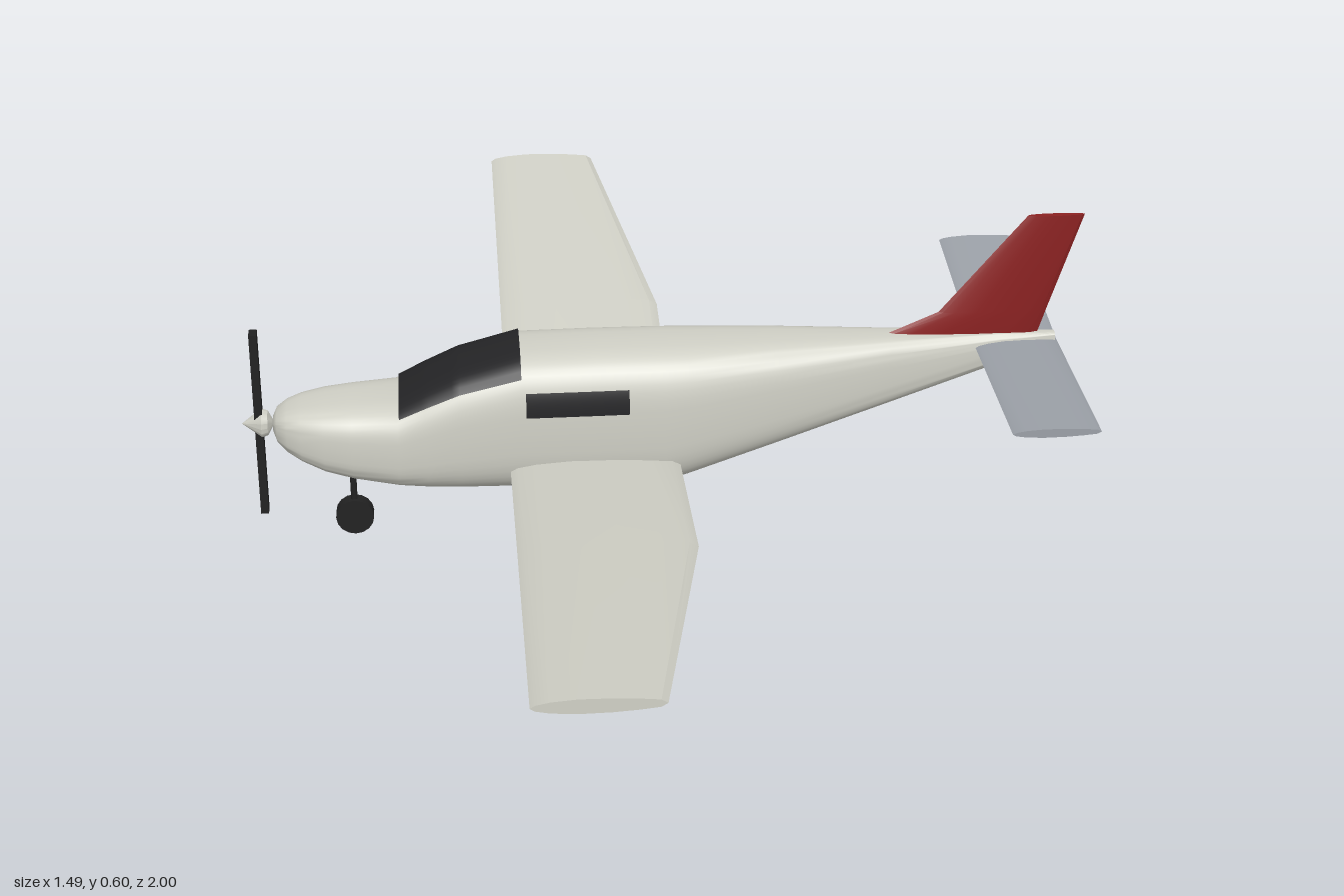
import * as THREE from 'three';
import { toCreasedNormals } from 'three/addons/utils/BufferGeometryUtils.js';
import { ParametricGeometry } from 'three/addons/geometries/ParametricGeometry.js';

const V = (x, y, z) => new THREE.Vector3(x, y, z);

// Closed skin over a row of equal-length rings, with flat end caps
function loft(rings, crease) {
  const n = rings[0].length, tris = [];
  for (let i = 0; i < rings.length - 1; i++)
    for (let j = 0; j < n; j++) {
      const k = (j + 1) % n, a = rings[i][j], b = rings[i][k], c = rings[i + 1][k], d = rings[i + 1][j];
      tris.push([a, b, c], [a, c, d]);
    }
  const last = rings[rings.length - 1];
  for (let j = 1; j < n - 1; j++) {
    tris.push([rings[0][0], rings[0][j + 1], rings[0][j]], [last[0], last[j], last[j + 1]]);
  }
  // Turn the skin outward whichever way the rings run
  const volume = tris.reduce((s, [a, b, c]) => s + a.dot(b.clone().cross(c)), 0);
  const pts = tris.flatMap(([a, b, c]) => (volume < 0 ? [a, c, b] : [a, b, c]));
  return toCreasedNormals(new THREE.BufferGeometry().setFromPoints(pts), crease);
}

// Aerofoil outline: chord fraction, half-thickness fraction
const FOIL = [[0, 0], [0.04, 0.4], [0.15, 0.75], [0.35, 1], [0.6, 0.95], [0.8, 0.75], [0.95, 0.5], [1, 0],
  [0.95, -0.5], [0.8, -0.75], [0.6, -0.95], [0.35, -1], [0.15, -0.75], [0.04, -0.4]];
const foil = (x0, x1, half, place) => FOIL.map(([u, t]) => place(x0 + (x1 - x0) * u, t * half));

// Fuselage stations: x, bottom, top, half width
const STATIONS = [
  [-0.69, 0.235, 0.258, 0.015], [-0.683, 0.22, 0.27, 0.035], [-0.665, 0.203, 0.28, 0.052],
  [-0.64, 0.188, 0.287, 0.066], [-0.6, 0.17, 0.293, 0.08], [-0.55, 0.156, 0.297, 0.089],
  [-0.47, 0.141, 0.302, 0.097], [-0.42, 0.135, 0.329, 0.1], [-0.36, 0.131, 0.358, 0.102],
  [-0.25, 0.128, 0.389, 0.103], [-0.12, 0.127, 0.39, 0.103], [0, 0.127, 0.389, 0.102],
  [0.04, 0.138, 0.388, 0.099], [0.2, 0.19, 0.386, 0.08], [0.4, 0.253, 0.382, 0.048],
  [0.6, 0.318, 0.378, 0.02], [0.7, 0.35, 0.374, 0.01]];
const POWER = 3.3;
function stationAt(x) {
  let i = 0;
  while (i < STATIONS.length - 2 && STATIONS[i + 1][0] < x) i++;
  const a = STATIONS[i], b = STATIONS[i + 1], t = (x - a[0]) / (b[0] - a[0]);
  const [bottom, top, w] = [1, 2, 3].map(k => a[k] + (b[k] - a[k]) * t);
  return { mid: (top + bottom) / 2, h: (top - bottom) / 2, w };
}
const squircle = f => Math.pow(Math.max(0, 1 - Math.pow(Math.abs(f), POWER)), 1 / POWER);

export function createModel() {
  const group = new THREE.Group();
  const paint = (name, color, side = THREE.FrontSide) => {
    const m = new THREE.MeshStandardMaterial({ color, side });
    m.name = name;
    return m;
  };
  const white = paint('off white', 0xd0d0c6);
  const gray = paint('tail gray', 0x9ca1a8);
  const red = paint('fin red', 0x8b2222);
  const black = paint('black', 0x222222);
  const glass = paint('dark glass', 0x242426, THREE.DoubleSide);
  const metal = paint('strut metal', 0xb0b0b0);
  const add = (name, geometry, material, x = 0, y = 0, z = 0) => {
    const mesh = new THREE.Mesh(geometry, material);
    mesh.name = name;
    mesh.position.set(x, y, z);
    group.add(mesh);
    return mesh;
  };
  const rod = (name, a, b, r, material) => {
    const d = b.clone().sub(a), mid = a.clone().add(b).multiplyScalar(0.5);
    const mesh = add(name, new THREE.CylinderGeometry(r, r, d.length(), 10), material, mid.x, mid.y, mid.z);
    mesh.quaternion.setFromUnitVectors(V(0, 1, 0), d.normalize());
  };
  const wheel = (name, x, y, z) => add(name,
    new THREE.CylinderGeometry(0.034, 0.034, 0.024, 16).rotateX(Math.PI / 2), black, x, y, z);

  // Fuselage
  const signedPow = v => Math.sign(v) * Math.pow(Math.abs(v), 2 / POWER);
  const hull = STATIONS.map(([x]) => {
    const { mid, h, w } = stationAt(x);
    return Array.from({ length: 48 }, (_, j) => {
      const a = (j / 48) * Math.PI * 2;
      return V(x, mid + h * signedPow(Math.sin(a)), w * signedPow(Math.cos(a)));
    });
  });
  add('fuselage', loft(hull, 0.7), white);

  // Windshield following the hull
  add('windshield', new ParametricGeometry((u, v, p) => {
    const x = -0.467 + 0.215 * u, f = 0.86 * (1 - 2 * v), { mid, h, w } = stationAt(x);
    p.set(x, mid + h * squircle(f) + 0.005, w * f);
  }, 16, 20), glass);

  for (const s of [1, -1]) {
    const side = s > 0 ? 'left' : 'right';
    // Wing with dihedral, straight leading edge and tapered outer trailing edge
    const wing = [[0.04, 0.177, 0.025, 0.018], [0.45, 0.23, 0.025, 0.018], [1, 0.298, -0.07, 0.013]]
      .map(([z, y, end, half]) => foil(-0.275, end, half, (x, t) => V(x, y + t, s * z)));
    add(side + 'Wing', loft(wing, 0.45), white);

    // Tailplane
    const tail = [[0, 0.357], [0.38, 0.379]]
      .map(([z, y]) => foil(0.555, 0.705, 0.008, (x, t) => V(x, y + t, s * z)));
    add(side + 'Tailplane', loft(tail, 0.45), gray);

    // Side window following the hull
    add(side + 'Window', new ParametricGeometry((u, v, p) => {
      const x = -0.155 + s * 0.18 * (u - 0.5), y = 0.295 + 0.045 * v, { mid, h, w } = stationAt(x);
      p.set(x, y, s * (w * squircle((y - mid) / h) + 0.005));
    }, 8, 8), glass);

    // Main gear
    rod(side + 'GearStrut', V(-0.125, 0.165, s * 0.06), V(-0.125, 0.037, s * 0.218), 0.007, metal);
    wheel(side + 'Wheel', -0.125, 0.034, s * 0.22);
  }

  // Fin with its leading fillet
  const fin = [[0.362, 0.36, 0.665, 0.009], [0.383, 0.405, 0.672, 0.01], [0.42, 0.49, 0.683, 0.01], [0.602, 0.64, 0.74, 0.006]]
    .map(([y, x0, x1, half]) => foil(x0, x1, half, (x, t) => V(x, y, t)));
  add('fin', loft(fin, 0.45), red);

  // Nose gear
  rod('noseGearStrut', V(-0.555, 0.17, 0), V(-0.555, 0.055, 0), 0.006, black);
  wheel('noseWheel', -0.555, 0.054, 0);

  // Propeller and spinner
  add('propeller', new THREE.BoxGeometry(0.014, 0.358, 0.024), black, -0.715, 0.248, 0);
  const nose = [[0, -0.028], [0.022, -0.016], [0.026, -0.005], [0, 0.03]].map(([r, y]) => new THREE.Vector2(r, y));
  add('spinner', toCreasedNormals(new THREE.LatheGeometry(nose, 16).rotateZ(Math.PI / 2), 0.6), white, -0.715, 0.248, 0);

  return group;
}
